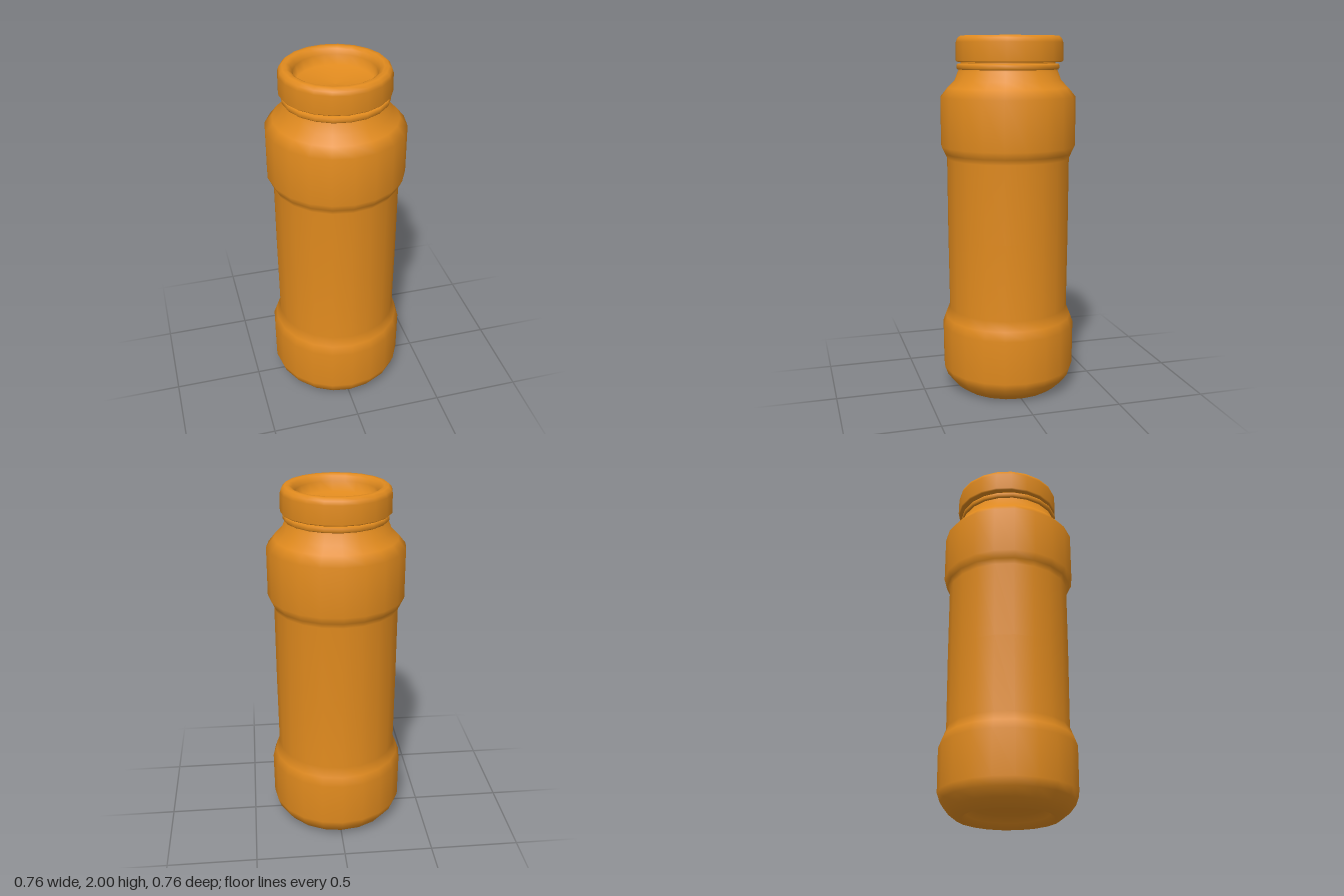
import * as THREE from 'three';

const material = new THREE.MeshStandardMaterial({ color: 0xe08a1e, side: THREE.DoubleSide });

// Twenty-sided smooth turned part from [radius, height] pairs
function turned(name, profile) {
  const points = profile.map(([r, y]) => new THREE.Vector2(r, y));
  const mesh = new THREE.Mesh(new THREE.LatheGeometry(points, 20), material);
  mesh.name = name;
  return mesh;
}

export function createModel() {
  const group = new THREE.Group();
  group.name = 'bottle';

  // Body: hollowed base, lower bulge, recessed grip, upper bulge, shoulder and neck
  group.add(turned('body', [
    [0, 0.07], [0.19, 0.06], [0.22, 0.025], [0.245, 0], [0.28, 0],
    [0.325, 0.035], [0.36, 0.08], [0.376, 0.125], [0.378, 0.37],
    [0.36, 0.42], [0.338, 0.475], [0.342, 0.9], [0.343, 1.33],
    [0.357, 1.36], [0.376, 1.4], [0.376, 1.67], [0.335, 1.72],
    [0.295, 1.76], [0.276, 1.81], [0.262, 1.83], [0.262, 1.88],
  ]));

  // Rounded seal ring below the cap
  group.add(turned('sealRing', [
    [0.25, 1.818], [0.278, 1.819], [0.284, 1.826], [0.284, 1.842], [0.278, 1.85], [0.25, 1.852],
  ]));

  // Cap with a rounded rim and a dished top, sitting a touch towards the back
  const cap = turned('cap', [
    [0.25, 1.86], [0.29, 1.86], [0.297, 1.867], [0.295, 1.965], [0.288, 1.985],
    [0.272, 2], [0.25, 2], [0.232, 1.99], [0.218, 1.965], [0.205, 1.91], [0, 1.895],
  ]);
  cap.position.z = -0.009;
  group.add(cap);

  return group;
}
